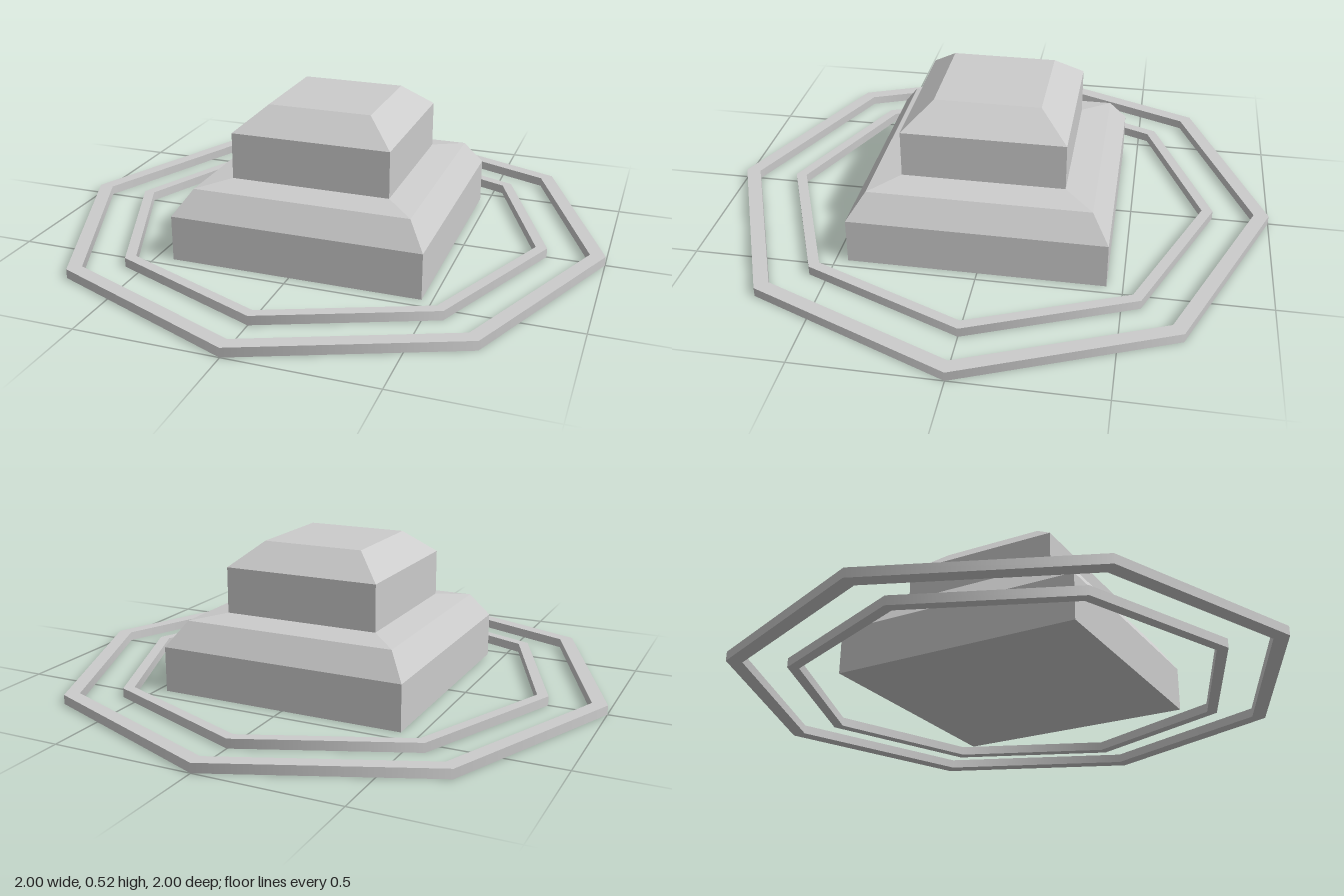
import * as THREE from 'three';

const grey = new THREE.MeshStandardMaterial({ color: 0xcccccc });
const greyFlat = new THREE.MeshStandardMaterial({ color: 0xcccccc, flatShading: true });

// Square stepped block from [half width, height] pairs, bottom to top
function squareTier(name, profile) {
  const points = profile.map(([half, y]) => new THREE.Vector2(half * Math.SQRT2, y));
  const mesh = new THREE.Mesh(new THREE.LatheGeometry(points, 4, Math.PI / 4), greyFlat);
  mesh.name = name;
  return mesh;
}

// Eight-sided ring of rectangular section; doubled corners keep the rims sharp
function octagonRing(name, inner, outer, height) {
  const corners = [[inner, 0], [outer, 0], [outer, height], [inner, height], [inner, 0]];
  const points = corners.flatMap(([r, y], i) => {
    const copies = i === 0 || i === corners.length - 1 ? 1 : 2;
    return Array.from({ length: copies }, () => new THREE.Vector2(r, y));
  });
  const mesh = new THREE.Mesh(new THREE.LatheGeometry(points, 8), grey);
  mesh.name = name;
  return mesh;
}

export function createModel() {
  const model = new THREE.Group();
  model.name = 'steppedBlockWithRings';

  // Two-tier block, slightly off the rings' centre
  const block = new THREE.Group();
  block.name = 'steppedBlock';
  block.add(
    squareTier('lowerTier', [[0, 0], [0.45, 0], [0.45, 0.163], [0.389, 0.252], [0.286, 0.268]]),
    squareTier('upperTier', [[0.286, 0.268], [0.286, 0.434], [0.186, 0.52], [0, 0.52]]),
  );
  block.position.set(0.015, 0, 0.006);

  // Concentric ground rings
  model.add(
    block,
    octagonRing('outerRing', 0.946, 1, 0.033),
    octagonRing('innerRing', 0.758, 0.798, 0.033),
  );
  return model;
}
